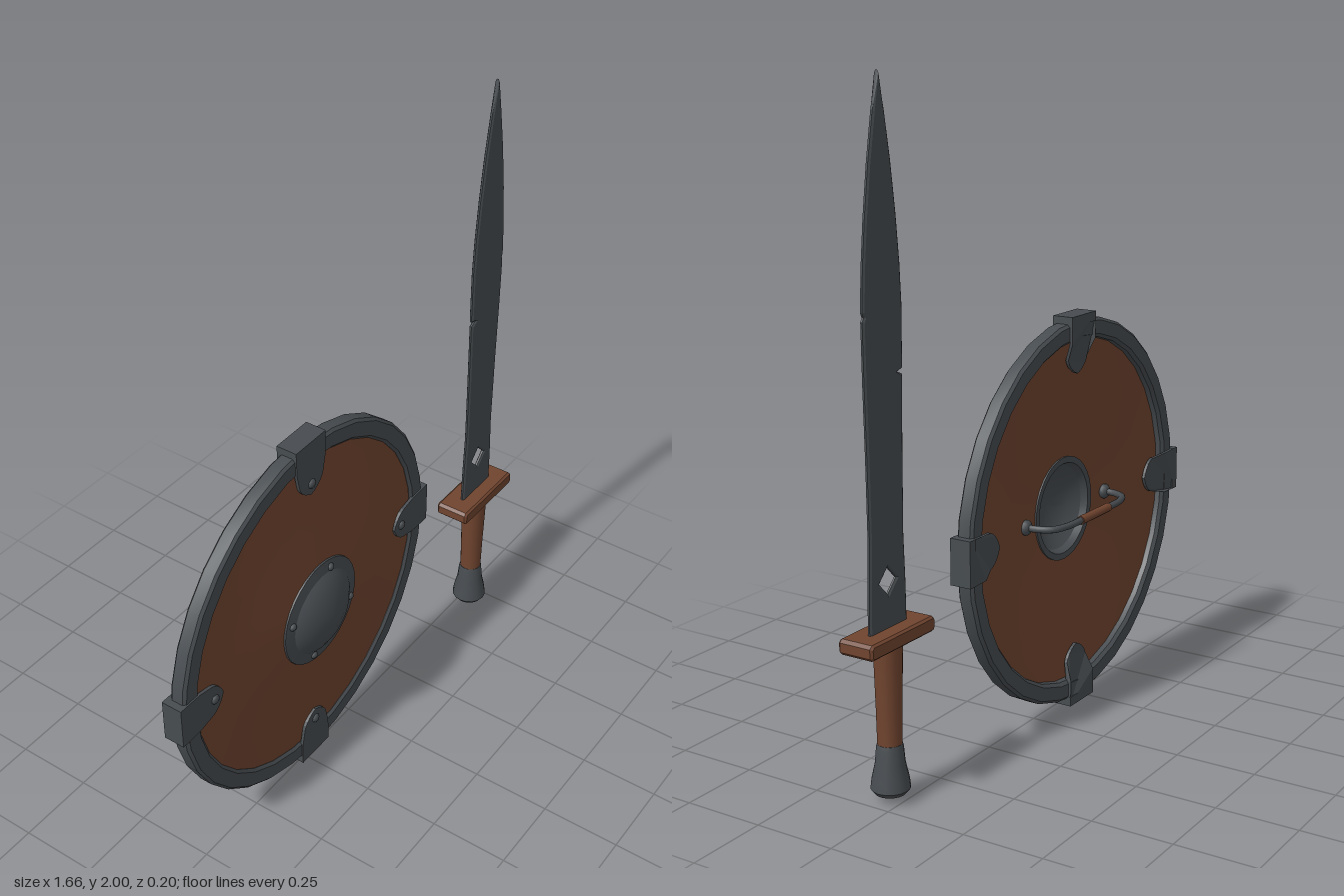
import * as THREE from 'three';
import { toCreasedNormals } from 'three/addons/utils/BufferGeometryUtils.js';

const wood = new THREE.MeshStandardMaterial({ color: 0x70442f });
wood.name = 'brown wood';
const metal = new THREE.MeshStandardMaterial({ color: 0x474c50 });
metal.name = 'dark iron';

function add(parent, name, geometry, material, x = 0, y = 0, z = 0) {
  const mesh = new THREE.Mesh(geometry, material);
  mesh.name = name;
  mesh.position.set(x, y, z);
  parent.add(mesh);
  return mesh;
}

const vectors = (points) => points.map(([a, b]) => new THREE.Vector2(a, b));

// Ring turned about the z axis from [radius, z] points
function turnedZ(points, segments = 32) {
  const g = new THREE.LatheGeometry(vectors(points), segments);
  g.rotateX(Math.PI / 2);
  return toCreasedNormals(g, 0.42);
}

// Solid turned about the y axis from [radius, y] points
const turnedY = (points, segments = 16) =>
  toCreasedNormals(new THREE.LatheGeometry(vectors(points), segments), 0.6);

// Dome-headed rivet facing +z
function rivet(parent, radius, height, x, y, z) {
  const g = new THREE.SphereGeometry(radius, 10, 4, 0, Math.PI * 2, 0, Math.PI / 2);
  g.rotateX(Math.PI / 2).scale(1, 1, height / radius);
  return add(parent, 'rivet', g, metal, x, y, z);
}

// Rounded strap tongue reaching in from the rim
function tongue() {
  const s = new THREE.Shape();
  s.moveTo(-0.07, 0.615);
  s.lineTo(-0.068, 0.54);
  s.lineTo(-0.056, 0.485);
  s.quadraticCurveTo(-0.045, 0.452, 0, 0.436);
  s.quadraticCurveTo(0.045, 0.452, 0.056, 0.485);
  s.lineTo(0.068, 0.54);
  s.lineTo(0.07, 0.615);
  return new THREE.ExtrudeGeometry(s, { depth: 0.01, bevelEnabled: false, curveSegments: 5 });
}

function createClamp() {
  const clamp = new THREE.Group();
  clamp.name = 'rimClamp';
  add(clamp, 'clampFront', tongue(), metal, 0, 0, 0.009);
  // The rear tongue dips behind the rim towards the boards
  const back = tongue();
  const p = back.attributes.position;
  for (let i = 0; i < p.count; i++) if (p.getY(i) < 0.53) p.setZ(i, p.getZ(i) + 0.022);
  back.computeVertexNormals();
  add(clamp, 'clampBack', back, metal, 0, 0, -0.049);
  add(clamp, 'clampCap', new THREE.BoxGeometry(0.14, 0.03, 0.068), metal, 0, 0.607, -0.015);
  rivet(clamp, 0.016, 0.011, 0, 0.475, 0.018);
  return clamp;
}

function createShield() {
  const shield = new THREE.Group();
  shield.name = 'shield';

  // Flared round board with an opening behind the boss
  add(shield, 'board', turnedZ([
    [0.15, 0.026], [0.22, 0.018], [0.3, 0.008], [0.42, -0.006], [0.57, -0.015],
    [0.57, 0.003], [0.42, 0.012], [0.3, 0.026], [0.22, 0.036], [0.15, 0.044], [0.15, 0.026],
  ]), wood);

  add(shield, 'rim', turnedZ([
    [0.545, -0.03], [0.555, -0.04], [0.597, -0.04], [0.606, -0.032],
    [0.606, 0.006], [0.597, 0.014], [0.55, 0.014], [0.541, 0.006], [0.545, -0.03],
  ]), metal);

  // Hollow boss with its flange
  add(shield, 'boss', turnedZ([
    [0, 0.088], [0.05, 0.083], [0.1, 0.065], [0.134, 0.04], [0.145, 0.02], [0.165, 0.019],
    [0.165, 0.03], [0.18, 0.037], [0.178, 0.046], [0.14, 0.053],
    [0.128, 0.063], [0.1, 0.079], [0.055, 0.093], [0, 0.098],
  ]), metal);
  for (let k = 0; k < 4; k++) {
    const a = THREE.MathUtils.degToRad(73 + 90 * k);
    rivet(shield, 0.013, 0.012, 0.152 * Math.cos(a), 0.152 * Math.sin(a), 0.049);
  }

  for (let k = 0; k < 4; k++) {
    const clamp = createClamp();
    clamp.rotation.z = k * Math.PI / 2;
    shield.add(clamp);
  }

  // Carrying handle on the back
  const half = [[0.235, 0.015], [0.232, -0.03], [0.21, -0.068], [0.16, -0.086], [0.085, -0.09]];
  const path = [
    ...half.map(([x, z]) => new THREE.Vector3(-x, 0, z)),
    ...half.slice().reverse().map(([x, z]) => new THREE.Vector3(x, 0, z)),
  ];
  add(shield, 'handleBar',
    new THREE.TubeGeometry(new THREE.CatmullRomCurve3(path), 40, 0.011, 8), metal);
  const grip = new THREE.CylinderGeometry(0.014, 0.014, 0.17, 10);
  grip.rotateZ(Math.PI / 2);
  add(shield, 'handleGrip', grip, wood, 0, 0, -0.09);
  for (const side of [-1, 1]) {
    const foot = new THREE.SphereGeometry(0.024, 12, 8);
    foot.scale(1, 1, 0.7);
    add(shield, 'handleFoot', foot, metal, side * 0.235, 0, 0.01);
  }
  return shield;
}

function createSword() {
  const sword = new THREE.Group();
  sword.name = 'sword';

  // Leaf blade with chipped edges and a diamond hole
  const outline = new THREE.Shape(vectors([
    [-0.083, 0.5], [0.083, 0.5], [0.081, 0.62], [0.075, 0.76], [0.078, 1.0], [0.083, 1.2],
    [0.085, 1.365], [0.079, 1.375], [0.085, 1.388], [0.079, 1.5], [0.066, 1.63],
    [0.047, 1.77], [0.024, 1.9], [0, 2.0],
    [-0.024, 1.9], [-0.047, 1.77], [-0.066, 1.63], [-0.079, 1.5], [-0.085, 1.39],
    [-0.083, 1.217], [-0.06, 1.21], [-0.082, 1.2], [-0.078, 1.0], [-0.075, 0.76], [-0.081, 0.62],
  ]));
  outline.holes.push(new THREE.Path(vectors([
    [0, 0.604], [-0.038, 0.643], [0, 0.682], [0.038, 0.643],
  ])));
  const blade = new THREE.ExtrudeGeometry(outline, {
    depth: 0.006, bevelEnabled: true, bevelSegments: 1,
    bevelThickness: 0.004, bevelSize: 0.006, bevelOffset: -0.006,
  });
  blade.translate(0, 0, -0.003);
  add(sword, 'blade', blade, metal);

  // Guard with softened edges
  const face = new THREE.Shape(vectors([
    [-0.145, 0.474], [-0.136, 0.465], [0.136, 0.465], [0.145, 0.474],
    [0.145, 0.501], [0.136, 0.51], [-0.136, 0.51], [-0.145, 0.501],
  ]));
  const guard = new THREE.ExtrudeGeometry(face, {
    depth: 0.1, bevelEnabled: true, bevelSegments: 1,
    bevelThickness: 0.007, bevelSize: 0.006, bevelOffset: -0.006,
  });
  guard.translate(0, 0, -0.05);
  add(sword, 'guard', guard, wood);

  add(sword, 'grip', turnedY([[0, 0.16], [0.035, 0.16], [0.037, 0.28], [0.042, 0.47]]), wood);
  add(sword, 'pommel', turnedY([
    [0, 0.024], [0.046, 0.026], [0.057, 0.04], [0.054, 0.065], [0.043, 0.115],
    [0.039, 0.16], [0.036, 0.172], [0, 0.172],
  ]), metal);
  return sword;
}

export function createModel() {
  const model = new THREE.Group();
  model.name = 'swordAndShield';
  const shield = createShield();
  shield.position.set(-0.21, 0.622, 0);
  const sword = createSword();
  sword.position.set(0.687, 0, 0.037);
  model.add(shield, sword);
  return model;
}
